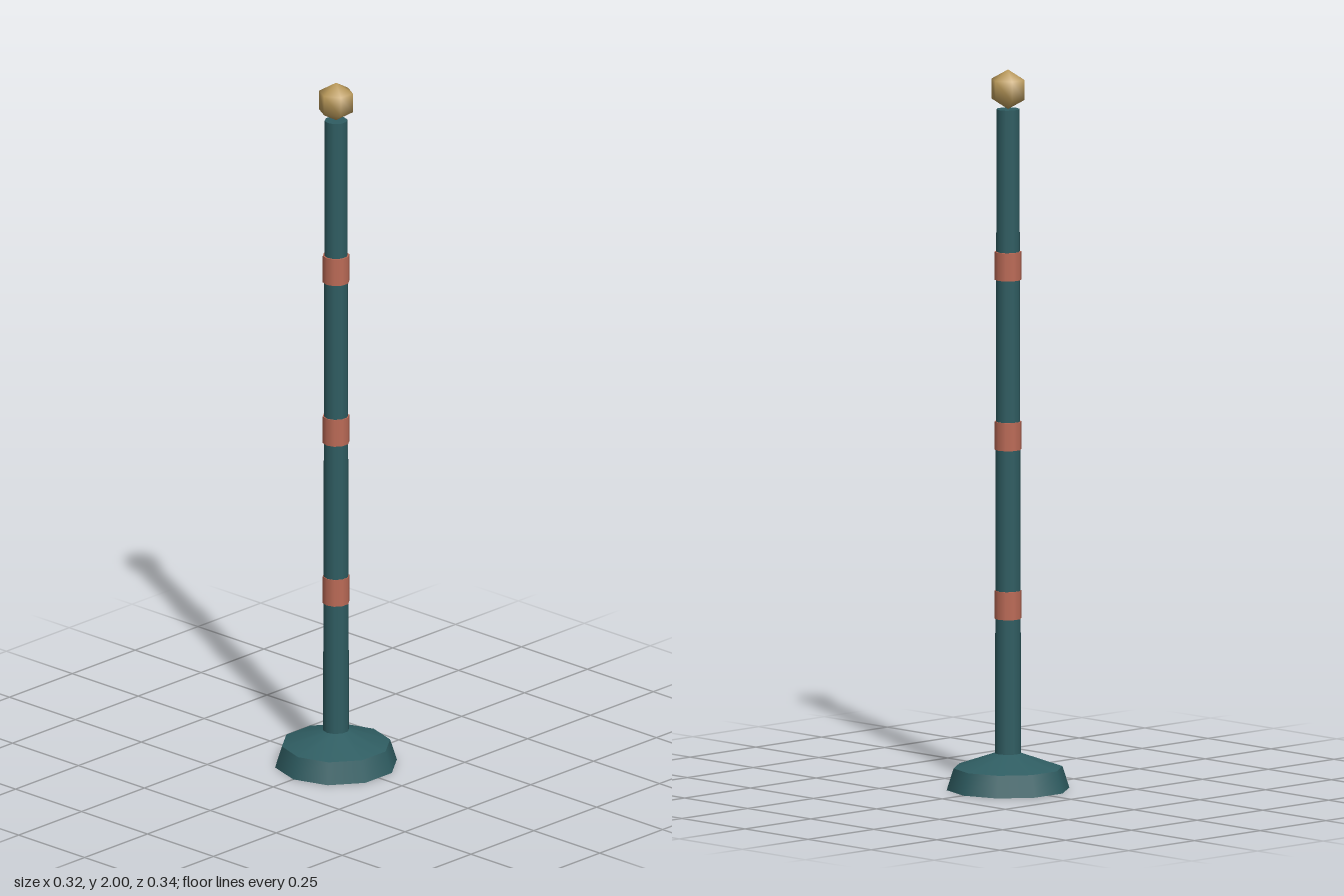
import * as THREE from 'three';

const SIDES = 10;

function material(name, color) {
  const m = new THREE.MeshStandardMaterial({ color });
  m.name = name;
  return m;
}

export function createModel() {
  const group = new THREE.Group();
  group.name = 'bandedPost';
  const teal = material('dark teal', 0x2f5d62);
  const red = material('brick red', 0xbc6b57);
  const brass = material('brass', 0xbd9c5c);

  const add = (name, geometry, mat, y) => {
    const mesh = new THREE.Mesh(geometry, mat);
    mesh.name = name;
    mesh.position.y = y;
    group.add(mesh);
    return mesh;
  };
  // Upright tapered cylinder between two heights
  const column = (name, rTop, rBottom, y0, y1, mat) =>
    add(name, new THREE.CylinderGeometry(rTop, rBottom, y1 - y0, SIDES), mat, (y0 + y1) / 2);

  // Foot: bevelled plinth with a shallow cone on top
  column('basePlinth', 0.151, 0.17, 0, 0.06, teal);
  column('baseCone', 0.036, 0.151, 0.06, 0.1, teal);

  // Slightly tapered pole
  column('pole', 0.0317, 0.0362, 0.08, 1.89, teal);

  // Three painted collars
  [0.513, 0.983, 1.455].forEach((y, i) =>
    column(`band${i + 1}`, 0.037, 0.037, y - 0.039, y + 0.039, red));

  // Faceted ball finial, corners facing front and back
  const ball = add('finial', new THREE.SphereGeometry(0.055, 6, 3), brass, 1.945);
  ball.rotation.y = Math.PI / 2;

  return group;
}
